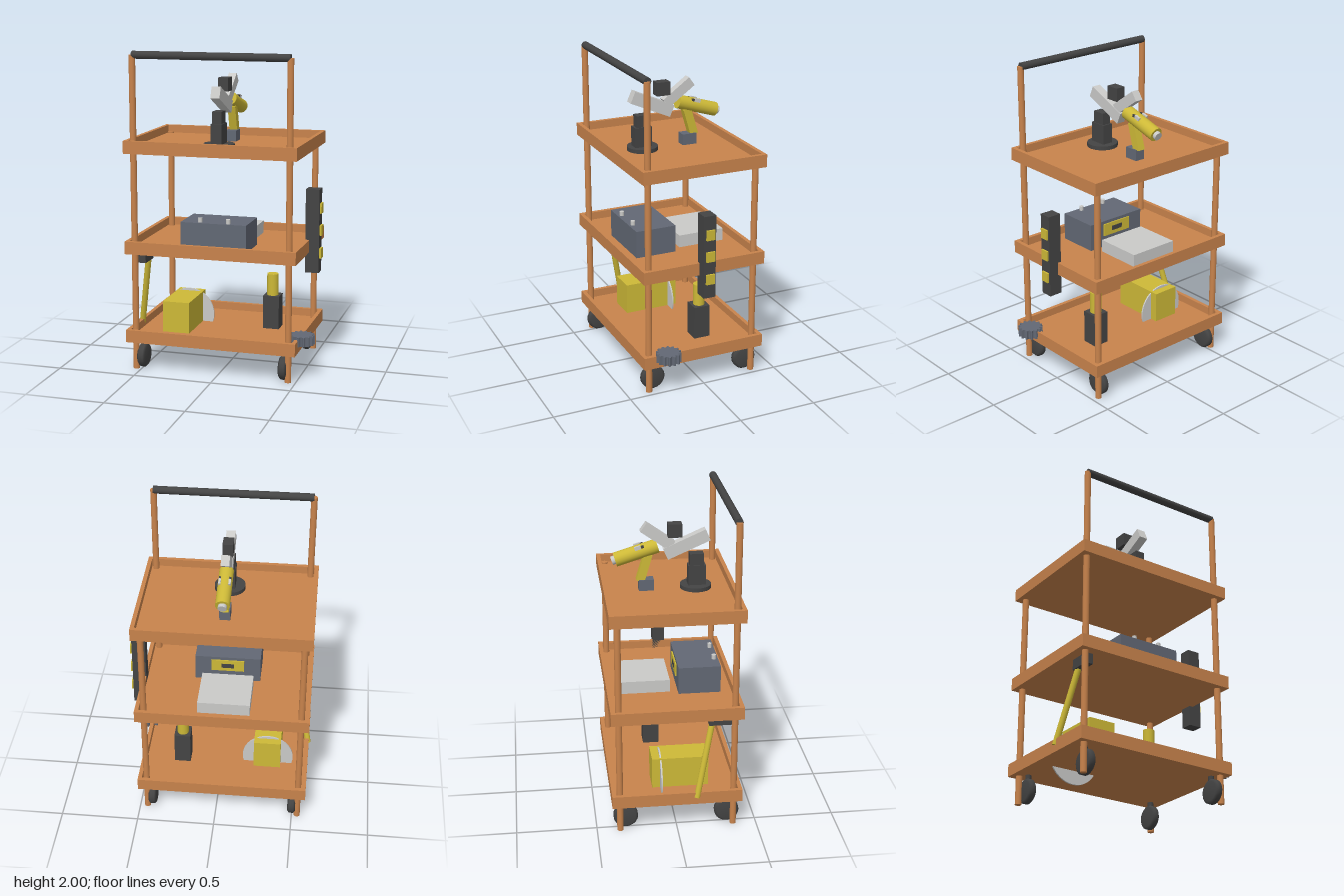
import * as THREE from 'three';

const paint = (name, color) => {
  const m = new THREE.MeshStandardMaterial({ color });
  m.name = name;
  return m;
};

export function createModel() {
  const root = new THREE.Group();
  root.name = 'toolCart';
  const copper = paint('copper', 0xc8834c);
  const dark = paint('charcoal', 0x444444);
  const yellow = paint('yellow', 0xcdb937);
  const light = paint('lightGrey', 0xcacac8);
  const steel = paint('steel', 0x626874);

  const add = (name, geo, mat, parent = root) => {
    const mesh = new THREE.Mesh(geo, mat);
    mesh.name = name;
    parent.add(mesh);
    return mesh;
  };
  // Box given by its extents on each axis
  const box = (name, mat, [x0, x1], [y0, y1], [z0, z1], parent) => {
    const m = add(name, new THREE.BoxGeometry(x1 - x0, y1 - y0, z1 - z0), mat, parent);
    m.position.set((x0 + x1) / 2, (y0 + y1) / 2, (z0 + z1) / 2);
    return m;
  };
  // Cylinder between two points
  const rod = (name, mat, a, b, r, sides = 16, parent = root) => {
    const p = new THREE.Vector3(...a), q = new THREE.Vector3(...b);
    const d = q.clone().sub(p);
    const m = add(name, new THREE.CylinderGeometry(r, r, d.length(), sides), mat, parent);
    m.position.copy(p).add(q).multiplyScalar(0.5);
    m.quaternion.setFromUnitVectors(new THREE.Vector3(0, 1, 0), d.normalize());
    return m;
  };
  // Square bar between two [y, z] points, lying in the plane x
  const bar = (name, mat, x, [y0, z0], [y1, z1], w, t, parent) => {
    const m = add(name, new THREE.BoxGeometry(w, t, Math.hypot(y1 - y0, z1 - z0)), mat, parent);
    m.position.set(x, (y0 + y1) / 2, (z0 + z1) / 2);
    m.rotation.x = -Math.atan2(y1 - y0, z1 - z0);
    return m;
  };

  // Trays: floor with a raised rim
  const X0 = -0.585, X1 = 0.505, Z = 0.405, RIM = 0.025;
  for (const y of [0.18, 0.75, 1.38]) {
    const tray = new THREE.Group();
    tray.name = 'tray';
    root.add(tray);
    const top = [y, y + 0.08];
    box('trayFloor', copper, [X0 + RIM, X1 - RIM], [y, y + 0.03], [-Z + RIM, Z - RIM], tray);
    box('frontRim', copper, [X0, X1], top, [Z - RIM, Z], tray);
    box('backRim', copper, [X0, X1], top, [-Z, -Z + RIM], tray);
    box('rightRim', copper, [X0, X0 + RIM], top, [-Z + RIM, Z - RIM], tray);
    box('leftRim', copper, [X1 - RIM, X1], top, [-Z + RIM, Z - RIM], tray);
  }

  // Posts and castors at the corners
  const wheelProfile = [[0, -0.026], [0.062, -0.026], [0.077, -0.014], [0.077, 0.014], [0.062, 0.026], [0, 0.026]];
  for (const [px, wx] of [[-0.535, -0.497], [0.452, 0.418]]) {
    for (const s of [1, -1]) {
      rod('post', copper, [px, 0, s * 0.355], [px, s > 0 ? 1.98 : 1.42, s * 0.355], 0.02);
      const castor = new THREE.Group();
      castor.name = 'castor';
      root.add(castor);
      const wheel = add('wheel', new THREE.LatheGeometry(
        wheelProfile.map(([r, h]) => new THREE.Vector2(r, h)), 20), dark, castor);
      wheel.rotation.z = Math.PI / 2;
      wheel.position.set(wx, 0.081, s * 0.318);
      rod('castorStem', dark, [wx, 0.1, s * 0.31], [wx, 0.18, s * 0.31], 0.018, 12, castor);
    }
  }
  rod('pushHandle', dark, [-0.535, 1.98, 0.352], [0.453, 1.98, 0.352], 0.024, 12);

  // Jointed arm on the top tray
  const arm = new THREE.Group();
  arm.name = 'jointedArm';
  root.add(arm);
  const cx = -0.04;
  const around = (h) => [cx - h, cx + h];
  rod('armBase', dark, [cx, 1.41, 0.175], [cx, 1.435, 0.175], 0.097, 28, arm);
  box('pedestal', dark, around(0.035), [1.43, 1.56], [0.125, 0.235], arm);
  box('pedestalTop', dark, around(0.03), [1.56, 1.635], [0.135, 0.222], arm);
  bar('lowerArm', light, cx, [1.64, -0.015], [1.755, 0.247], 0.058, 0.077, arm);
  bar('upperArm', light, cx, [1.69, 0.025], [1.815, -0.15], 0.052, 0.065, arm);
  box('elbowBlock', dark, around(0.032), [1.745, 1.83], [0, 0.087], arm);

  // Hand tool standing behind the arm
  const tool = new THREE.Group();
  tool.name = 'handTool';
  root.add(tool);
  rod('toolBody', yellow, [cx, 1.69, -0.062], [cx, 1.61, -0.322], 0.044, 20, tool);
  rod('toolNozzle', light, [cx, 1.615, -0.31], [cx, 1.603, -0.342], 0.027, 14, tool);
  bar('toolGrip', yellow, cx, [1.64, -0.12], [1.47, -0.17], 0.05, 0.052, tool);
  box('toolBattery', steel, around(0.033), [1.41, 1.48], [-0.18, -0.087], tool);
  for (const s of [-1, 1]) {
    bar('toolVent', light, cx + s * 0.03, [1.682, -0.205], [1.694, -0.168], 0.014, 0.022, tool);
    bar('toolVentSlot', dark, cx + s * 0.03, [1.692, -0.165], [1.697, -0.148], 0.012, 0.016, tool);
  }

  // Instrument box and flat case on the middle tray
  box('instrumentBox', steel, [-0.25, 0.17], [0.78, 0.955], [0.045, 0.31]);
  for (const x of [-0.13, 0.05]) rod('terminal', light, [x, 0.95, 0.283], [x, 0.983, 0.283], 0.014, 12);
  box('instrumentPanel', yellow, [-0.145, 0.065], [0.855, 0.935], [0.037, 0.046]);
  box('panelSlot', dark, [-0.08, 0], [0.88, 0.91], [0.034, 0.04]);
  box('flatCase', light, [-0.21, 0.12], [0.78, 0.86], [-0.31, -0.005]);

  // Saw and driver on the bottom tray
  box('sawBody', yellow, [-0.405, -0.23], [0.21, 0.41], [-0.14, 0.215]);
  rod('sawBlade', light, [-0.32, 0.26, -0.091], [-0.32, 0.26, -0.081], 0.166, 40);
  box('driverBase', dark, [0.19, 0.295], [0.21, 0.425], [-0.137, -0.032]);
  rod('driverBody', yellow, [0.242, 0.42, -0.085], [0.242, 0.565, -0.085], 0.037, 18);

  // Hanging hammer on the right side
  box('hammerHead', dark, [-0.52, -0.47], [0.685, 0.755], [0.2, 0.34]);
  rod('hammerHandle', yellow, [-0.493, 0.7, 0.222], [-0.579, 0.224, 0.12], 0.019, 14);

  // Level hung on the left side
  box('levelBody', dark, [0.48, 0.567], [0.62, 1.15], [-0.038, 0.04]);
  for (const y of [0.743, 0.89, 1.03]) box('levelMark', yellow, [0.56, 0.579], [y - 0.032, y + 0.032], [-0.028, 0.028]);

  // Toothed wheel clamped to the bottom tray
  const teeth = 14, outline = [];
  for (let i = 0; i < teeth * 4; i++) {
    const a = (i + 0.5) / (teeth * 4) * Math.PI * 2;
    const r = i % 4 < 2 ? 0.079 : 0.064;
    outline.push(new THREE.Vector2(Math.cos(a) * r, Math.sin(a) * r));
  }
  const gear = add('gear', new THREE.ExtrudeGeometry(new THREE.Shape(outline), { depth: 0.06, bevelEnabled: false }), steel);
  gear.rotation.x = -Math.PI / 2;
  gear.position.set(0.515, 0.22, 0.25);

  return root;
}
